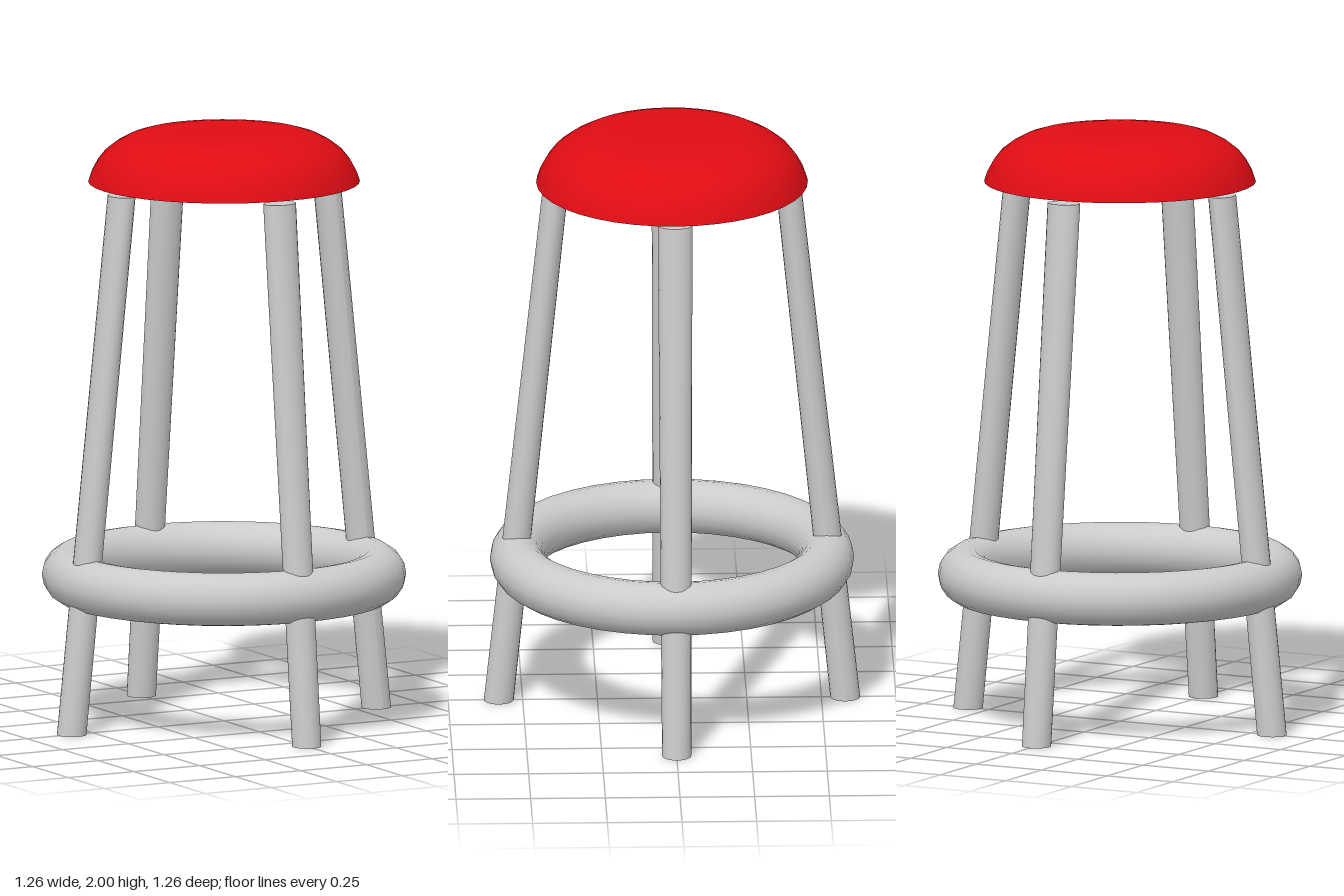
import * as THREE from 'three';

const grey = new THREE.MeshStandardMaterial({ color: 0xcccccc });
const red = new THREE.MeshStandardMaterial({ color: 0xe00c14 });

function lathe(name, points) {
  const profile = points.map(([r, y]) => new THREE.Vector2(r, y));
  const mesh = new THREE.Mesh(new THREE.LatheGeometry(profile, 40), red);
  mesh.name = name;
  return mesh;
}

// Slanted leg with level ends: round at the foot, a wider oval under the seat
function legGeometry() {
  const height = 1.815;
  const geo = new THREE.CylinderGeometry(1, 1, 1, 20, 6);
  const pos = geo.attributes.position;
  const mix = THREE.MathUtils.lerp;
  for (let i = 0; i < pos.count; i++) {
    const t = pos.getY(i) + 0.5;
    pos.setXYZ(
      i,
      pos.getX(i) * mix(0.05, 0.043, t) + mix(0.58, 0.39, t),
      t * height,
      pos.getZ(i) * mix(0.049, 0.058, t)
    );
  }
  geo.computeVertexNormals();
  return geo;
}

export function createModel() {
  const stool = new THREE.Group();
  stool.name = 'stool';

  // Domed seat cushion with a shallow conical underside
  const seat = new THREE.Group();
  seat.name = 'seat';
  seat.add(
    lathe('seatUnderside', [[0, 1.81], [0.455, 1.833]]),
    lathe('seatCushion', [
      [0.455, 1.833], [0.444, 1.865], [0.425, 1.9], [0.4, 1.932], [0.365, 1.959],
      [0.32, 1.983], [0.28, 1.995], [0.235, 2], [0.12, 2], [0, 2],
    ])
  );
  stool.add(seat);

  // Four legs splayed outward
  const geo = legGeometry();
  ['leftLeg', 'backLeg', 'rightLeg', 'frontLeg'].forEach((name, i) => {
    const leg = new THREE.Mesh(geo, grey);
    leg.name = name;
    leg.rotation.y = (i * Math.PI) / 2;
    stool.add(leg);
  });

  // Footrest ring
  const ring = new THREE.Mesh(new THREE.TorusGeometry(0.52, 0.09, 16, 40), grey);
  ring.name = 'footRing';
  ring.rotation.x = Math.PI / 2;
  ring.position.y = 0.5;
  stool.add(ring);

  return stool;
}
